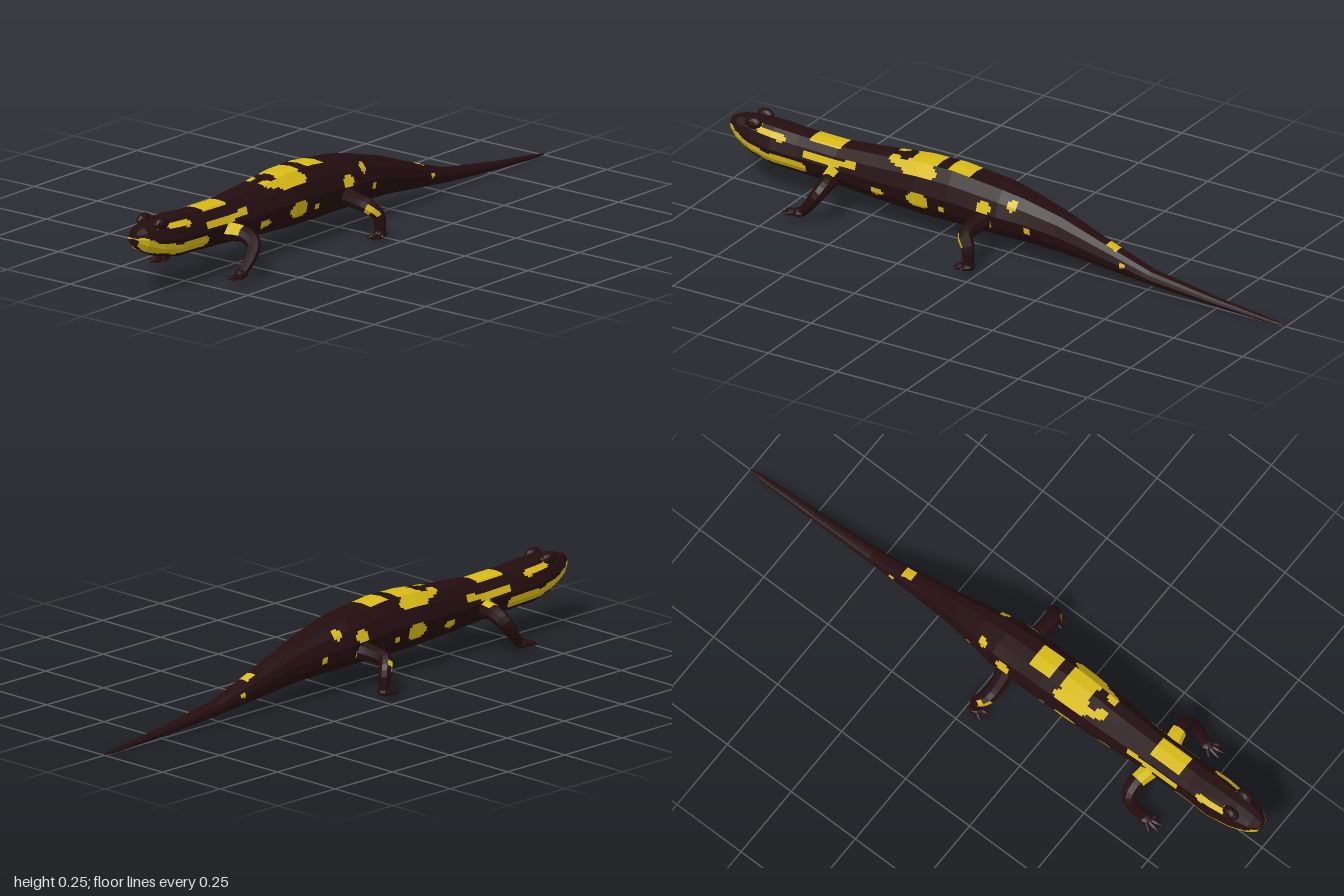
import * as THREE from 'three';

const dark = new THREE.MeshStandardMaterial({ color: 0x230d0f, flatShading: true });
dark.name = 'dark skin';
const yellow = new THREE.MeshStandardMaterial({ color: 0xd8ba14, flatShading: true });
yellow.name = 'yellow skin';

// Body stations from snout to tail tip: z, half width, top y, bottom y
const stations = [
  [1.0, 0.001, 0.2, 0.19], [0.998, 0.022, 0.216, 0.172], [0.97, 0.042, 0.228, 0.15], [0.91, 0.058, 0.236, 0.12],
  [0.83, 0.068, 0.234, 0.104], [0.74, 0.064, 0.228, 0.1], [0.6, 0.064, 0.225, 0.092],
  [0.45, 0.074, 0.237, 0.083], [0.3, 0.083, 0.253, 0.076], [0.18, 0.085, 0.254, 0.075],
  [0, 0.084, 0.234, 0.074], [-0.08, 0.068, 0.218, 0.071], [-0.2, 0.049, 0.185, 0.063],
  [-0.35, 0.036, 0.13, 0.046], [-0.52, 0.026, 0.072, 0.028], [-0.75, 0.017, 0.037, 0.012],
  [-0.96, 0.009, 0.013, 0.002], [-1, 0.001, 0.008, 0.003],
];

// Half cross-section, top to bottom, in units of half width and half height
const half = [[0, 1], [0.47, 0.95], [0.82, 0.55], [1, 0], [0.9, -0.5], [0.58, -0.95], [0, -1]];
const section = [...half, ...half.slice(1, -1).reverse().map(([x, y]) => [-x, y])];

// Flank markings: rounded strokes z0, y0, z1, y1, radius
const strokes = [
  [0.99, 0.178, 0.95, 0.16, 0.02], [0.95, 0.158, 0.86, 0.14, 0.016], [0.86, 0.137, 0.72, 0.132, 0.017],
  [0.92, 0.222, 0.88, 0.222, 0.009], [0.88, 0.216, 0.79, 0.207, 0.009],
  [0.7, 0.18, 0.61, 0.176, 0.011], [0.61, 0.176, 0.53, 0.187, 0.01], [0.61, 0.165, 0.61, 0.13, 0.012],
  [0.4, 0.235, 0.35, 0.228, 0.01], [0.34, 0.228, 0.25, 0.228, 0.018],
  [0.45, 0.125, 0.43, 0.125, 0.014], [0.3, 0.137, 0.27, 0.137, 0.024], [0.2, 0.128, 0.2, 0.128, 0.012],
  [0.05, 0.172, 0.04, 0.172, 0.018], [0.04, 0.122, 0.03, 0.122, 0.014],
  [-0.045, 0.192, -0.05, 0.192, 0.015], [-0.1, 0.122, -0.1, 0.122, 0.012],
  [0.17, 0.235, 0.17, 0.235, 0.005], [-0.42, 0.075, -0.425, 0.075, 0.008],
];
// Back markings: z from, z to, half width
const patches = [[0.585, 0.7, 0.033], [0.24, 0.335, 0.042], [0.12, 0.2, 0.038], [-0.4, -0.355, 0.017]];

function bodySpot(p) {
  if (p.y > 0.11 && patches.some(([a, b, w]) => p.z > a && p.z < b && Math.abs(p.x) < w)) return true;
  if (Math.abs(p.x) < 0.011) return false;
  return strokes.some(([z0, y0, z1, y1, r]) => {
    const dz = z1 - z0, dy = y1 - y0, l = dz * dz + dy * dy;
    const t = l ? THREE.MathUtils.clamp(((p.z - z0) * dz + (p.y - y0) * dy) / l, 0, 1) : 0;
    return Math.hypot(p.z - z0 - t * dz, p.y - y0 - t * dy) < r;
  });
}

// Sort faces into a dark and a yellow group by testing quad centres
function paint(geometry, test) {
  const pos = geometry.toNonIndexed().getAttribute('position');
  const lists = [[], []];
  const p = new THREE.Vector3(), c = new THREE.Vector3();
  for (let i = 0; i < pos.count; i += 6) {
    c.set(0, 0, 0);
    for (let k = 0; k < 6; k++) c.addScaledVector(p.fromBufferAttribute(pos, i + k), 1 / 6);
    const list = lists[test(c) ? 1 : 0];
    for (let k = 0; k < 6; k++) list.push(pos.getX(i + k), pos.getY(i + k), pos.getZ(i + k));
  }
  const out = new THREE.BufferGeometry();
  out.setAttribute('position', new THREE.Float32BufferAttribute(lists[0].concat(lists[1]), 3));
  out.addGroup(0, lists[0].length / 3, 0);
  out.addGroup(lists[0].length / 3, lists[1].length / 3, 1);
  out.computeVertexNormals();
  return out;
}

function named(geometry, name, material = dark) {
  const mesh = new THREE.Mesh(geometry, material);
  mesh.name = name;
  return mesh;
}

// Faceted body, finely divided so markings follow the flat facets
function bodyGeometry() {
  const rings = [stations[0]];
  for (let i = 1; i < stations.length; i++) {
    const a = stations[i - 1], b = stations[i], n = Math.ceil((a[0] - b[0]) / 0.01);
    for (let k = 1; k <= n; k++) rings.push(a.map((v, m) => v + (b[m] - v) * k / n));
  }
  const outline = section.flatMap(([x, y], i) => {
    const [u, v] = section[(i + 1) % section.length];
    return [0, 1, 2, 3, 4].map((k) => [x + (u - x) * k / 5, y + (v - y) * k / 5]);
  });
  const n = outline.length, points = [], index = [];
  rings.forEach(([z, w, top, bottom], i) => {
    for (const [x, y] of outline) points.push(x * w, (top + bottom) / 2 + y * (top - bottom) / 2, z);
    if (i === 0) return;
    for (let j = 0; j < n; j++) {
      const a = (i - 1) * n + j, b = (i - 1) * n + (j + 1) % n;
      index.push(a, b, b + n, a, b + n, a + n);
    }
  });
  const g = new THREE.BufferGeometry();
  g.setAttribute('position', new THREE.Float32BufferAttribute(points, 3));
  g.setIndex(index);
  return paint(g, bodySpot);
}

// Tapered tube through points, with one radius per point
function limb(points, radii, s, segments, sides) {
  const curve = new THREE.CatmullRomCurve3(points.map(([x, y, z]) => new THREE.Vector3(x * s, y, z)));
  const g = new THREE.TubeGeometry(curve, segments, 1, sides);
  const pos = g.getAttribute('position'), p = new THREE.Vector3();
  for (let i = 0; i < pos.count; i++) {
    const t = Math.floor(i / (sides + 1)) / segments;
    const f = t * (radii.length - 1), k = Math.min(Math.floor(f), radii.length - 2);
    const r = THREE.MathUtils.lerp(radii[k], radii[k + 1], f - k), c = curve.getPointAt(t);
    p.fromBufferAttribute(pos, i).sub(c).multiplyScalar(r).add(c);
    pos.setXYZ(i, p.x, p.y, p.z);
  }
  return g;
}

const legs = [
  {
    name: 'frontLeg', path: [[0.035, 0.135, 0.605], [0.11, 0.134, 0.592], [0.15, 0.112, 0.597], [0.157, 0.07, 0.625], [0.153, 0.036, 0.655]],
    radii: [0.032, 0.028, 0.025, 0.02, 0.016], foot: [0.153, 0.033, 0.665],
    toes: [[0.122, 0.027, 0.698], [0.14, 0.026, 0.722], [0.163, 0.026, 0.722], [0.184, 0.027, 0.705]],
    spot: (p) => Math.abs(p.x) < 0.11 && p.y > 0.137 && p.z > 0.575,
  },
  {
    name: 'hindLeg', path: [[0.04, 0.13, 0.045], [0.11, 0.122, 0.058], [0.165, 0.112, 0.058], [0.186, 0.085, 0.035], [0.19, 0.03, 0.03]],
    radii: [0.034, 0.028, 0.025, 0.021, 0.017], foot: [0.19, 0.024, 0.032],
    toes: [[0.162, 0.016, 0.06], [0.178, 0.016, 0.078], [0.197, 0.016, 0.08], [0.214, 0.016, 0.068], [0.215, 0.016, 0.045]],
    spot: (p) => p.z > 0.045 && Math.abs(p.x) > 0.165 && p.y > 0.09 && p.y < 0.112,
  },
];

export function createModel() {
  const model = new THREE.Group();
  model.name = 'salamander';
  model.add(named(bodyGeometry(), 'body', [dark, yellow]));

  for (const s of [1, -1]) {
    const side = s > 0 ? 'left' : 'right';
    // Raised eyes
    const eye = named(new THREE.IcosahedronGeometry(0.021, 1), side + 'Eye');
    eye.position.set(0.035 * s, 0.228, 0.905);
    eye.scale.set(0.85, 1, 1.45);
    model.add(eye);

    // Legs with splayed toes
    for (const { name, path, radii, foot, toes, spot } of legs) {
      const leg = new THREE.Group();
      leg.name = side + name[0].toUpperCase() + name.slice(1);
      leg.add(named(paint(limb(path, radii, s, 16, 8), spot), 'limb', [dark, yellow]));
      const palm = named(new THREE.SphereGeometry(1, 8, 6), 'foot');
      palm.position.set(foot[0] * s, foot[1], foot[2]);
      palm.scale.set(0.023, 0.014, 0.024);
      leg.add(palm);
      for (const tip of toes) {
        const mid = tip.map((v, i) => foot[i] + (v - foot[i]) * 0.6);
        leg.add(named(limb([foot, mid, tip], [0.011, 0.009, 0.007, 0.001], s, 6, 6), 'toe'));
      }
      model.add(leg);
    }
  }
  return model;
}
